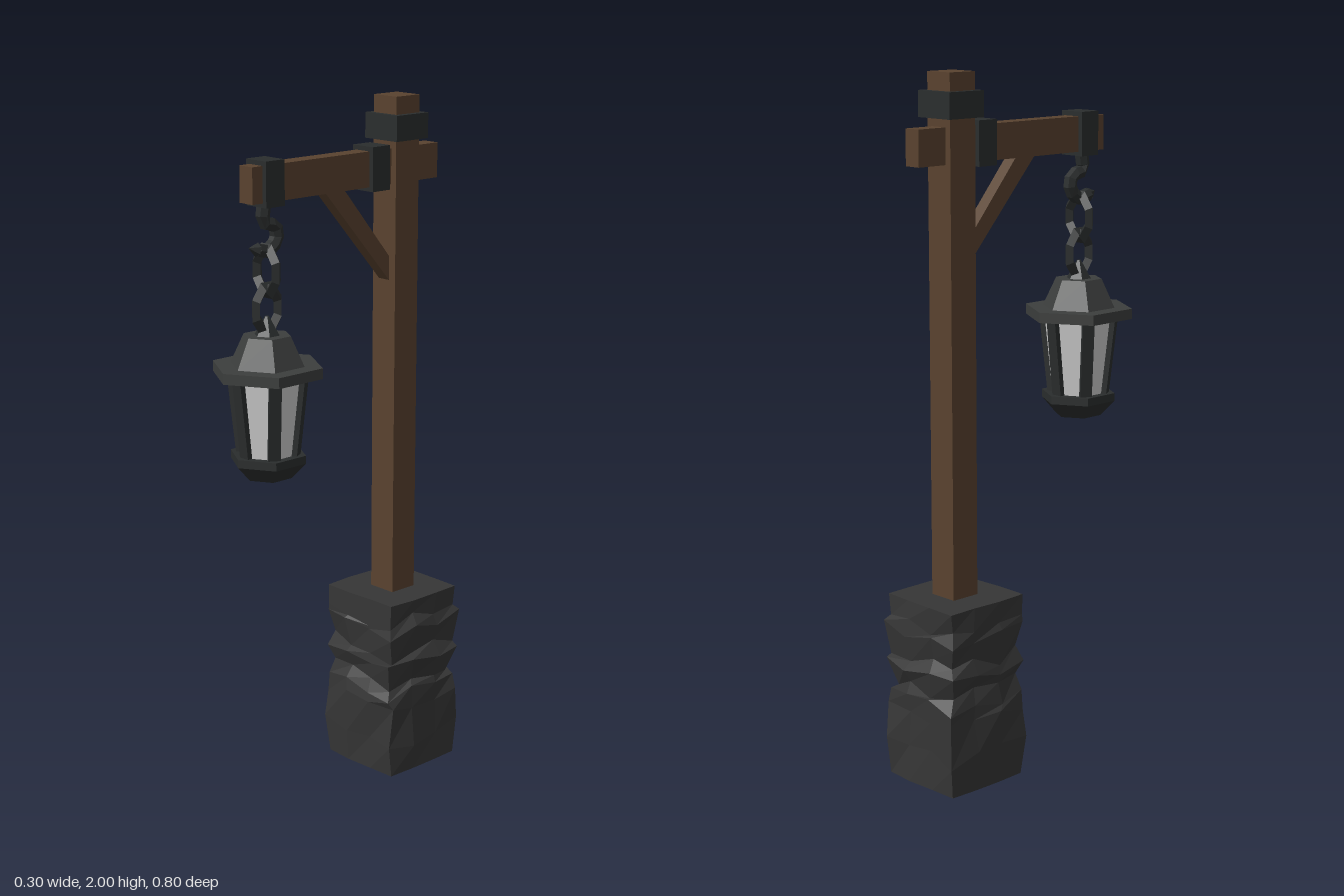
import * as THREE from 'three';

const mat = (color) => new THREE.MeshStandardMaterial({ color, flatShading: true });
const wood = mat(0x59422f);
const iron = mat(0x2a2d2d);
const roofIron = mat(0x3c3e3d);
const stone = mat(0x363636);
const glass = mat(0xcccccc);

const POST_Z = -0.25;
const LAMP_Z = 0.24;

function add(parent, name, geometry, material, x = 0, y = 0, z = 0) {
  const mesh = new THREE.Mesh(geometry, material);
  mesh.name = name;
  mesh.position.set(x, y, z);
  parent.add(mesh);
  return mesh;
}

// Box given by its centre height/depth span: y0..y1, z0..z1, half width hx
function block(parent, name, material, hx, y0, y1, z0, z1) {
  return add(parent, name, new THREE.BoxGeometry(hx * 2, y1 - y0, z1 - z0), material,
    0, (y0 + y1) / 2, (z0 + z1) / 2);
}

// Repeatable value in -1..1 for a grid corner
function noise(a, b, c, k) {
  const s = Math.sin(a * 127.1 + b * 311.7 + c * 74.7 + k * 53.3) * 43758.5453;
  return (s - Math.floor(s)) * 2 - 1;
}

// Rough stone block: a gridded box pushed in and out in uneven courses
function stoneBase() {
  const rows = [0, 0.1, 0.21, 0.255, 0.285, 0.345, 0.37, 0.45, 0.475, 0.54];
  const size = [0.136, 0.143, 0.142, 0.142, 0.126, 0.143, 0.127, 0.142, 0.132, 0.138];
  const n = 3, last = rows.length - 1;
  const geo = new THREE.BoxGeometry(2, last, 2, n, last, n);
  const p = geo.attributes.position;
  for (let i = 0; i < p.count; i++) {
    const gx = Math.round((p.getX(i) + 1) * n / 2);
    const gz = Math.round((p.getZ(i) + 1) * n / 2);
    const row = Math.round(p.getY(i) + last / 2);
    const ends = row === 0 || row === last;
    const corner = gx % n === 0 && gz % n === 0;
    const r = size[row] * (corner ? 0.97 : 1);
    const wobble = ends ? 0.004 : 0.009;
    const tilt = ends ? 0 : 0.022 * noise(gx, row, gz, 3);
    p.setXYZ(i,
      p.getX(i) * r + wobble * noise(gx, row, gz, 1),
      rows[row] + tilt,
      p.getZ(i) * r + wobble * noise(gx, row, gz, 2));
  }
  const flat = geo.toNonIndexed();
  flat.computeVertexNormals();
  return flat;
}

// Six-sided tapered drum with corners to the front and back
function hexDrum(parent, name, material, rTop, rBottom, y0, y1) {
  return add(parent, name, new THREE.CylinderGeometry(rTop, rBottom, y1 - y0, 6), material, 0, (y0 + y1) / 2, 0);
}

function lantern() {
  const g = new THREE.Group();
  g.name = 'lantern';
  hexDrum(g, 'lanternFoot', iron, 0.11, 0.068, 0.985, 1.03);
  hexDrum(g, 'lanternBottomRim', iron, 0.11, 0.11, 1.03, 1.053);
  hexDrum(g, 'glass', glass, 0.108, 0.083, 1.05, 1.28);
  hexDrum(g, 'roofBrim', roofIron, 0.159, 0.159, 1.275, 1.305);
  hexDrum(g, 'roof', roofIron, 0.068, 0.107, 1.305, 1.388);
  hexDrum(g, 'roofTip', iron, 0.006, 0.036, 1.388, 1.44);

  // Leaning corner bars around the glass
  const lean = Math.atan2(0.025, 0.225);
  for (let i = 0; i < 6; i++) {
    const corner = new THREE.Group();
    corner.name = 'cornerBar';
    corner.rotation.y = i * Math.PI / 3;
    const bar = add(corner, 'bar', new THREE.BoxGeometry(0.034, 0.232, 0.022), iron, 0, 1.163, 0.09);
    bar.rotation.x = lean;
    g.add(corner);
  }
  g.position.z = LAMP_Z;
  return g;
}

function chain() {
  const g = new THREE.Group();
  g.name = 'chain';

  // Bent hook under the beam
  const pts = [[0.245, 1.76], [0.25, 1.7], [0.21, 1.685], [0.203, 1.65], [0.235, 1.62], [0.275, 1.627]]
    .map(([z, y]) => new THREE.Vector3(0, y, z));
  const path = new THREE.CatmullRomCurve3(pts, false, 'centripetal');
  add(g, 'hook', new THREE.TubeGeometry(path, 10, 0.02, 6), iron);
  const tip = add(g, 'hookTip', new THREE.ConeGeometry(0.02, 0.03, 6), iron, 0, 1.631, 0.289);
  tip.rotation.x = 1.3;

  // Two crossed links, eight-sided
  [[1.565, 0], [1.46, Math.PI / 2]].forEach(([y, turn]) => {
    const geo = new THREE.TorusGeometry(0.042, 0.015, 4, 8);
    geo.rotateZ(Math.PI / 8);
    geo.scale(1, 1.42, 1.1);
    add(g, 'chainLink', geo, iron, 0, y, LAMP_Z).rotation.y = turn;
  });
  return g;
}

export function createModel() {
  const model = new THREE.Group();
  model.name = 'lanternPost';

  add(model, 'stoneBase', stoneBase(), stone, 0, 0, POST_Z);

  // Timber post and arm
  block(model, 'post', wood, 0.045, 0.45, 2, POST_Z - 0.045, POST_Z + 0.045);
  block(model, 'arm', wood, 0.026, 1.755, 1.855, -0.39, 0.31);

  // Diagonal brace, drawn as (z, y) and extruded across x
  const side = new THREE.Shape([[0.042, 1.757], [-0.03, 1.757], [-0.207, 1.547], [-0.207, 1.478]]
    .map(([z, y]) => new THREE.Vector2(z, y)));
  const brace = new THREE.ExtrudeGeometry(side, { depth: 0.04, bevelEnabled: false });
  brace.translate(0, 0, -0.02);
  brace.rotateY(-Math.PI / 2);
  add(model, 'brace', brace, wood);

  // Iron bands
  block(model, 'postBand', iron, 0.063, 1.878, 1.95, POST_Z - 0.063, POST_Z + 0.061);
  block(model, 'armBandInner', iron, 0.04, 1.743, 1.868, -0.186, -0.12);
  block(model, 'armBandOuter', iron, 0.04, 1.743, 1.868, 0.208, 0.274);

  model.add(chain(), lantern());
  return model;
}
